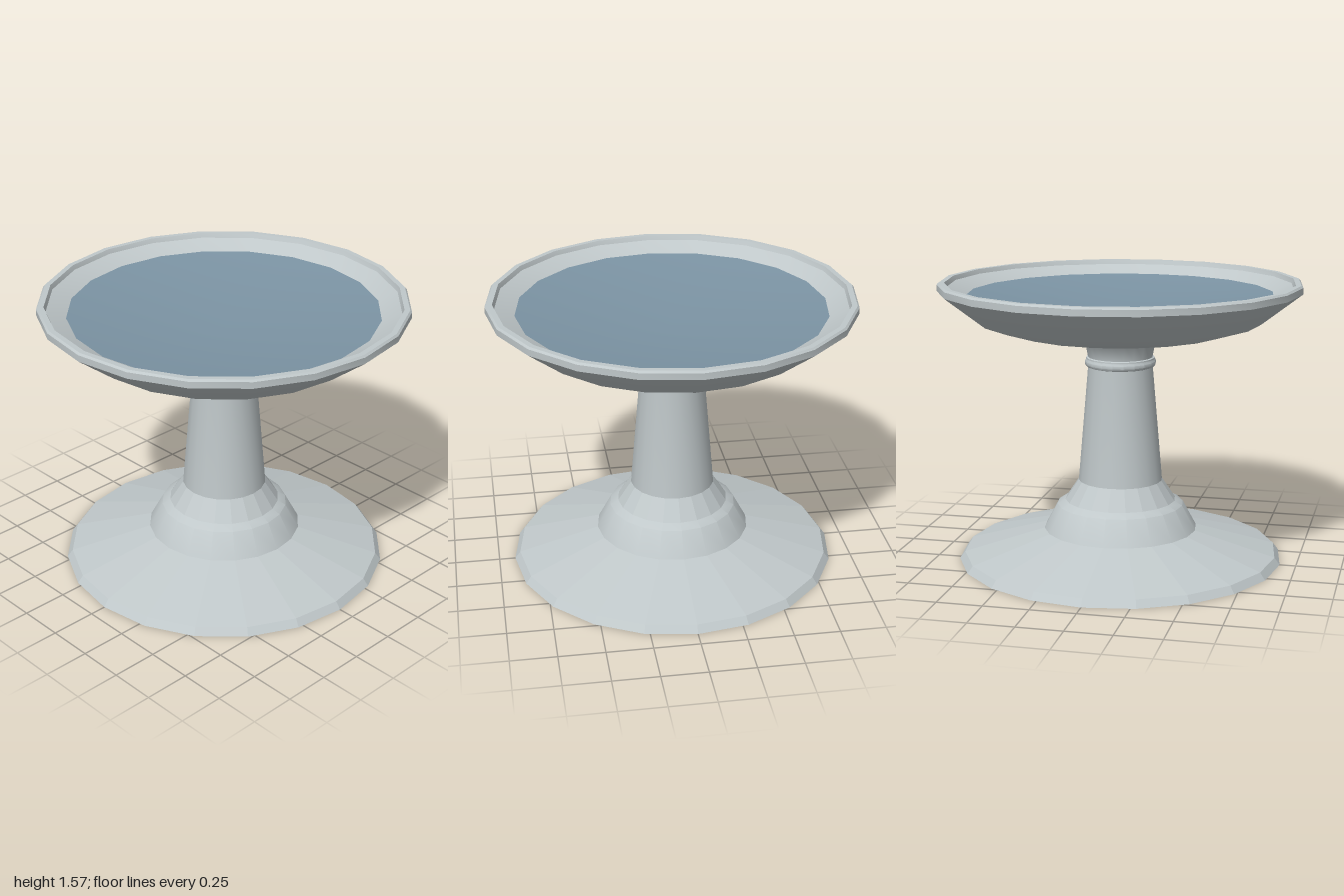
import * as THREE from 'three';
import { toCreasedNormals } from 'three/addons/utils/BufferGeometryUtils.js';

const SIDES = 20;
const FACETED = 0.01, CREASED = 0.6, SMOOTH = 1.4; // crease angles
const stone = new THREE.MeshStandardMaterial({ color: 0xc0c8ca });
const blue = new THREE.MeshStandardMaterial({ color: 0x7c94a4 });

// Turned part from [radius, height] points, listed so the outside runs upwards
function turned(name, profile, crease, material = stone) {
  const points = profile.map(([r, y]) => new THREE.Vector2(r, y));
  const geometry = toCreasedNormals(new THREE.LatheGeometry(points, SIDES), crease);
  const mesh = new THREE.Mesh(geometry, material);
  mesh.name = name;
  return mesh;
}

export function createModel() {
  const group = new THREE.Group();
  group.name = 'birdbath';

  // Wide foot, hollow underneath with a tapered recess
  group.add(turned('foot', [
    [0, 0.36], [0.25, 0.36], [0.325, 0.19], [0.91, 0], [0.88, 0.04], [0.43, 0.167],
  ], FACETED));

  // Stepped collar around the bottom of the column
  group.add(turned('collar', [[0.43, 0.167], [0.355, 0.307], [0.31, 0.332]], CREASED));
  group.add(turned('collarTop', [[0.31, 0.332], [0.235, 0.445]], FACETED));

  // Tapered column
  group.add(turned('column', [[0.235, 0.445], [0.18, 1.09], [0.18, 1.15]], CREASED));

  // Rounded band around the neck
  group.add(turned('neckRing', [
    [0.178, 1.09], [0.19, 1.094], [0.197, 1.106], [0.197, 1.122],
    [0.19, 1.134], [0.19, 1.142], [0.178, 1.146],
  ], CREASED));

  // Basin: flared neck blending into a shallow underside
  group.add(turned('basinUnderside', [
    [0.18, 1.146], [0.2, 1.25], [0.6, 1.295], [0.78, 1.35], [1, 1.52],
  ], SMOOTH));

  // Rim and the sloping wall inside it
  group.add(turned('rim', [
    [1, 1.52], [1, 1.555], [0.99, 1.565], [0.96, 1.565], [0.95, 1.54], [0.845, 1.495],
  ], CREASED));

  // Shallow dished basin floor
  group.add(turned('basinFloor', [[0.845, 1.495], [0, 1.39]], CREASED, blue));

  return group;
}
